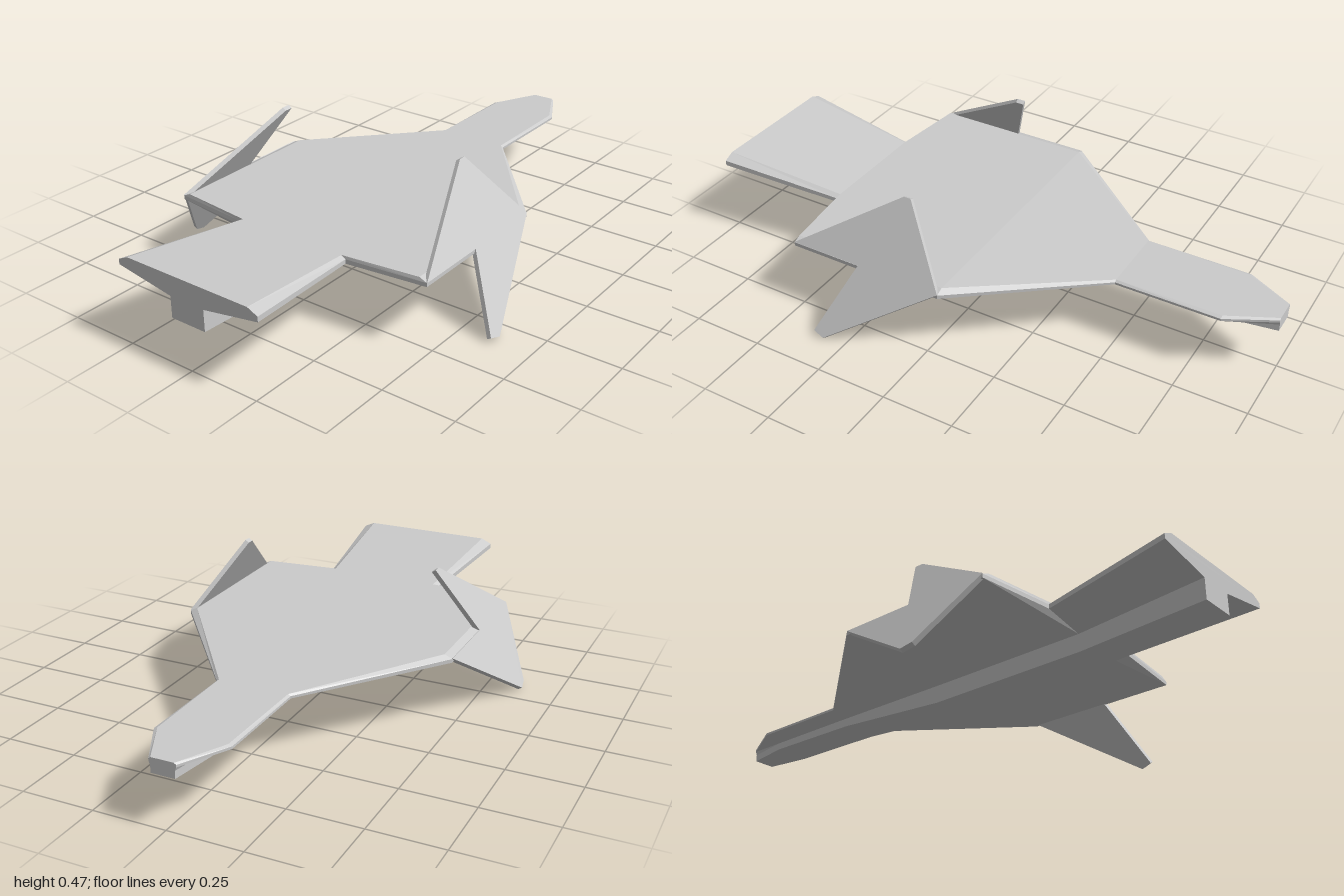
import * as THREE from 'three';

const material = new THREE.MeshStandardMaterial({ color: 0xcccccc, flatShading: true });

// Hull stations, tail to nose: z, top half width, edge half width, keel half width,
// then heights of top, edge top, edge bottom, underside at keel, keel bottom
const stations = [
  [1, 0.235, 0.272, 0.065, 0.3, 0.283, 0.265, 0.23, 0.157],
  [0.55, 0.2, 0.215, 0.065, 0.25, 0.24, 0.225, 0.197, 0.135],
  [0.52, 0.465, 0.492, 0.065, 0.25, 0.238, 0.225, 0.197, 0.135],
  [-0.04, 0.465, 0.492, 0.065, 0.25, 0.238, 0.225, 0.197, 0.135],
  [-0.48, 0.122, 0.13, 0.065, 0.226, 0.22, 0.212, 0.2, 0.17],
  [-0.84, 0.118, 0.13, 0.065, 0.225, 0.22, 0.212, 0.2, 0.175],
  [-1, 0.038, 0.045, 0.04, 0.225, 0.22, 0.212, 0.2, 0.175],
];

// Closed outline of one station: down the +x side, then up the -x side
function outline([z, top, edge, keel, yTop, yHigh, yLow, yUnder, yKeel]) {
  const half = [[top, yTop], [edge, yHigh], [edge, yLow], [keel, yUnder], [keel, yKeel]];
  const mirrored = half.map(([x, y]) => [-x, y]).reverse();
  return [...half, ...mirrored].map(([x, y]) => [x, y, z]);
}

function hullGeometry() {
  const rings = stations.map(outline);
  const n = rings[0].length;
  const positions = [];
  const quad = (a, b, c, d) => positions.push(...a, ...b, ...c, ...a, ...c, ...d);
  for (let j = 0; j < rings.length - 1; j++) {
    for (let i = 0; i < n; i++) {
      const k = (i + 1) % n;
      quad(rings[j][i], rings[j][k], rings[j + 1][k], rings[j + 1][i]);
    }
  }
  // End caps, filled by strips between mirrored points
  const tail = rings[0];
  const nose = rings[rings.length - 1];
  for (let i = 0; i < n / 2 - 1; i++) {
    quad(tail[i], tail[n - 1 - i], tail[n - 2 - i], tail[i + 1]);
    quad(nose[i], nose[i + 1], nose[n - 2 - i], nose[n - 1 - i]);
  }
  const geometry = new THREE.BufferGeometry();
  geometry.setAttribute('position', new THREE.Float32BufferAttribute(positions, 3));
  geometry.computeVertexNormals();
  return geometry;
}

// Slanted wing-tip fin; outline points are [z, distance up the slant]
function finGeometry(points, side) {
  const thickness = 0.016;
  const shape = new THREE.Shape(points.map(([z, s]) => new THREE.Vector2(z, s)));
  const geometry = new THREE.ExtrudeGeometry(shape, { depth: thickness, bevelEnabled: false });
  geometry.translate(0, 0, -thickness / 2);
  const along = new THREE.Vector3(0, 0, 1);
  const up = new THREE.Vector3(-0.502 * side, 0.865, 0).normalize();
  const across = new THREE.Vector3().crossVectors(along, up);
  const matrix = new THREE.Matrix4().makeBasis(along, up, across);
  matrix.setPosition(0.486 * side, 0.236, 0);
  return geometry.applyMatrix4(matrix);
}

export function createModel() {
  const group = new THREE.Group();
  const add = (name, geometry) => {
    const mesh = new THREE.Mesh(geometry, material);
    mesh.name = name;
    group.add(mesh);
  };

  add('hull', hullGeometry());

  // Left fin: full upper blade, lower blade swept back from the front root
  add('leftFin', finGeometry([
    [-0.04, 0], [0.325, -0.268], [0.365, -0.255], [0.263, 0], [0.52, 0],
    [0.16, 0.262], [0.135, 0.262],
  ], 1));

  // Right fin: full lower blade, upper blade swept forward from the rear root
  add('rightFin', finGeometry([
    [-0.04, 0], [0.325, -0.268], [0.365, -0.255], [0.52, 0],
    [0.16, 0.262], [0.13, 0.262], [0.226, 0],
  ], -1));

  return group;
}
